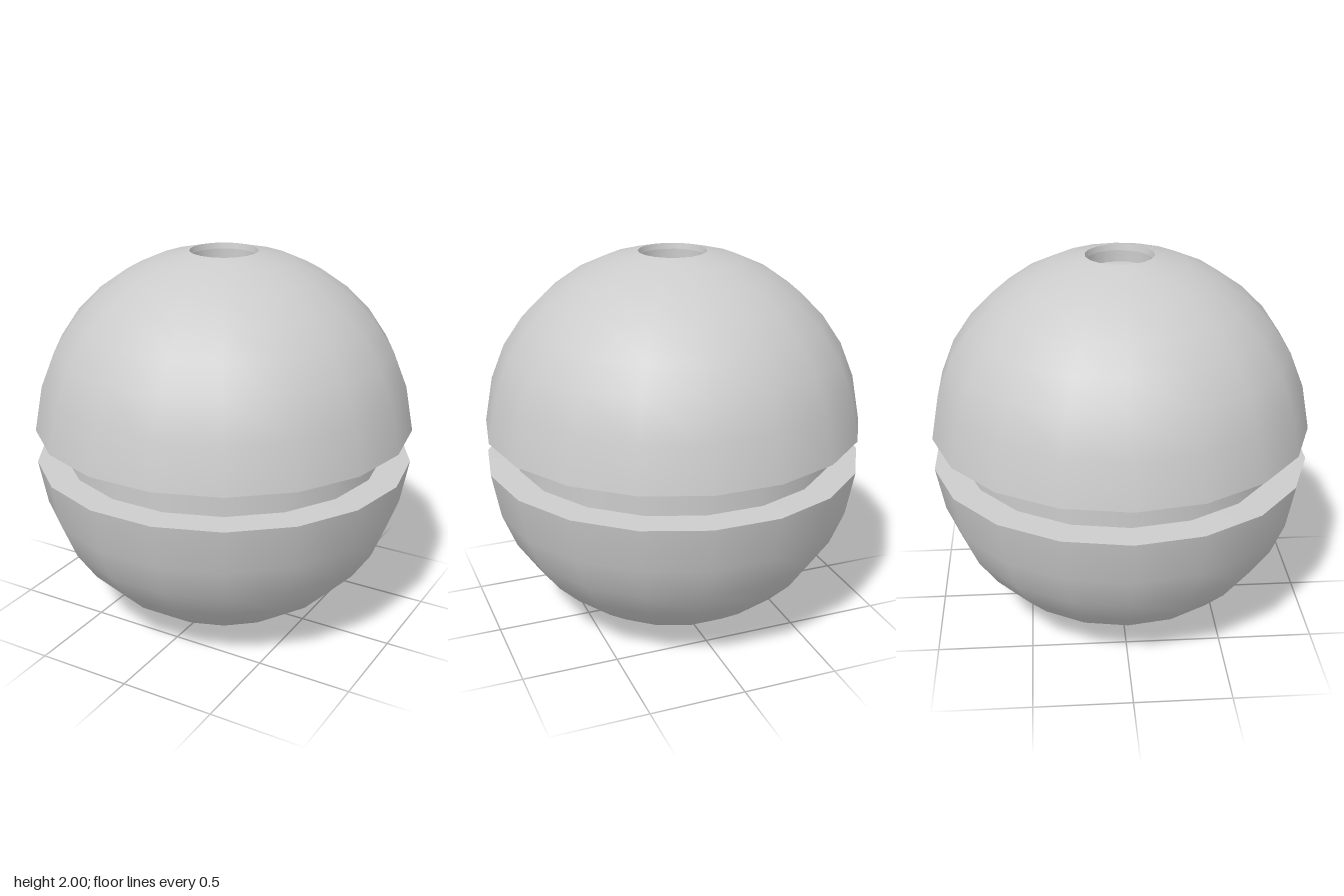
import * as THREE from 'three';

const SIDES = 18;
const material = new THREE.MeshStandardMaterial({ color: 0xcccccc });

// Profiles [radius, y] of the upper half, run from the groove to the top axis.
const upperHalf = {
  HalfUnderside: [[0.845, 1.083], [0.996, 1.088]],
  Dome: [[0.996, 1.088], [0.952, 1.325], [0.879, 1.507], [0.777, 1.658],
    [0.656, 1.78], [0.509, 1.884], [0.349, 1.957], [0.176, 2]],
  HoleRim: [[0.176, 2], [0.17, 1.97]],
  HoleWall: [[0.17, 1.97], [0.17, 1.91]],
  HoleFloor: [[0.17, 1.91], [0, 1.91]],
};

// One smooth surface of revolution; separate runs keep the edges between them sharp.
function turned(name, profile) {
  const points = profile.map(([r, y]) => new THREE.Vector2(r, y));
  const geometry = new THREE.LatheGeometry(points, SIDES, Math.PI / 2);
  const mesh = new THREE.Mesh(geometry, material);
  mesh.name = name;
  return mesh;
}

// Reflect a profile about y = 1, reversed so it still faces outward.
const mirrored = (profile) => profile.map(([r, y]) => [r, 2 - y]).reverse();

export function createModel() {
  const model = new THREE.Group();
  model.name = 'groovedBall';

  const upper = new THREE.Group();
  upper.name = 'upperHalf';
  const lower = new THREE.Group();
  lower.name = 'lowerHalf';
  for (const [part, profile] of Object.entries(upperHalf)) {
    upper.add(turned('upper' + part, profile));
    lower.add(turned('lower' + part, mirrored(profile)));
  }

  // Narrow core at the bottom of the groove
  const core = turned('grooveCore', [[0.845, 0.917], [0.845, 1.083]]);

  model.add(upper, lower, core);
  return model;
}
